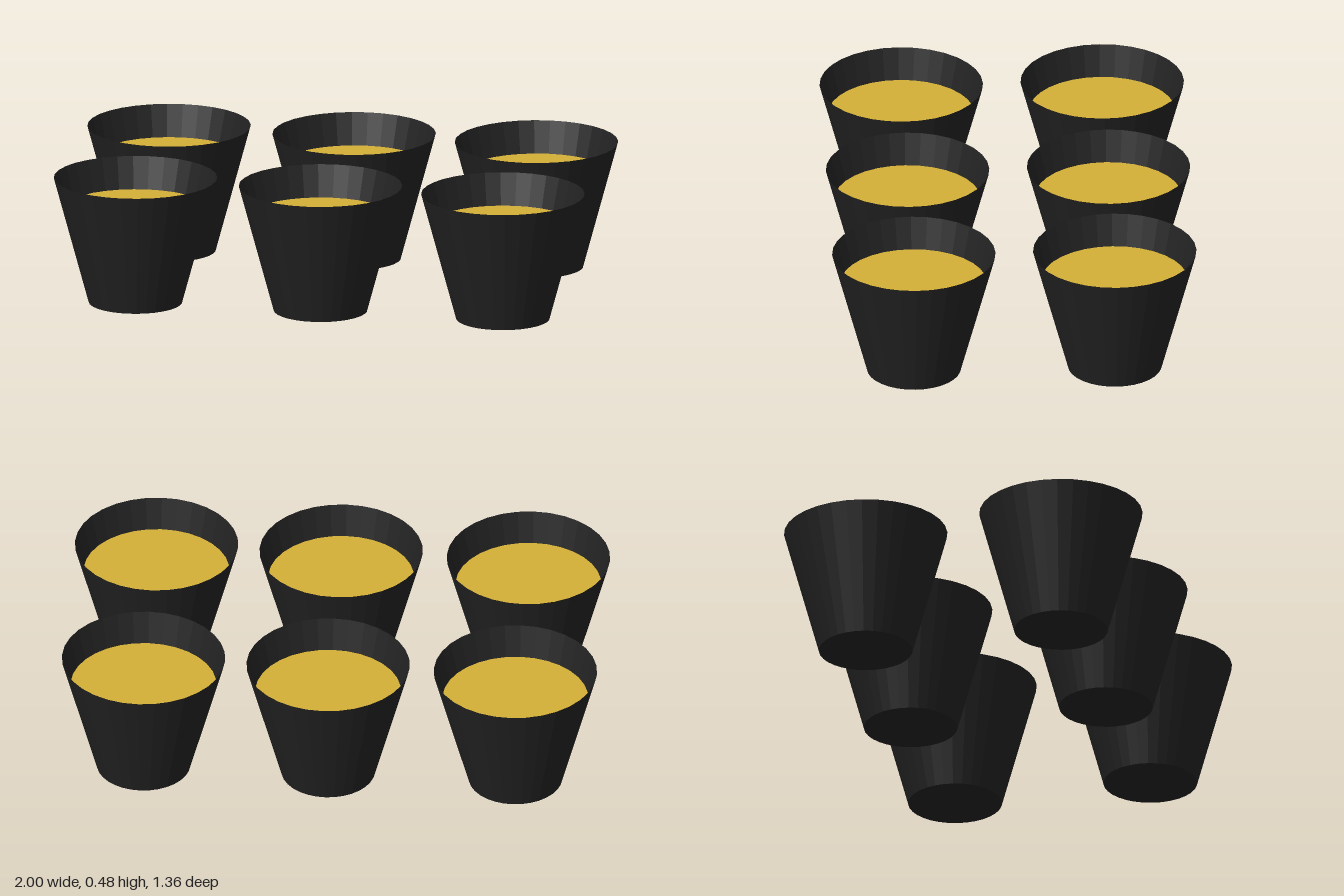
import * as THREE from 'three';

const HEIGHT = 0.48, TOP_R = 0.305, BASE_R = 0.175, FILL_Y = 0.36, SIDES = 32;

export function createModel() {
  const group = new THREE.Group();
  const cupMat = new THREE.MeshStandardMaterial({ color: 0x222222, flatShading: true, side: THREE.DoubleSide });
  const fillMat = new THREE.MeshStandardMaterial({ color: 0xd4af37, side: THREE.DoubleSide });

  // Thin tapered wall, open at the top
  const wallGeo = new THREE.CylinderGeometry(TOP_R, BASE_R, HEIGHT, SIDES, 1, true).translate(0, HEIGHT / 2, 0);
  // Flat base facing down
  const baseGeo = new THREE.CircleGeometry(BASE_R, SIDES).rotateX(Math.PI / 2);
  // Liquid surface, meeting the wall at its fill height
  const fillR = BASE_R + (TOP_R - BASE_R) * FILL_Y / HEIGHT;
  const fillGeo = new THREE.CircleGeometry(fillR, SIDES).rotateX(-Math.PI / 2).translate(0, FILL_Y, 0);

  function makeCup(x, z) {
    const cup = new THREE.Group();
    cup.name = 'cup';
    const parts = [['cupWall', wallGeo, cupMat], ['cupBase', baseGeo, cupMat], ['liquid', fillGeo, fillMat]];
    for (const [name, geo, mat] of parts) {
      const mesh = new THREE.Mesh(geo, mat);
      mesh.name = name;
      cup.add(mesh);
    }
    cup.position.set(x, 0, z);
    return cup;
  }

  // Two rows of three cups
  for (const z of [-0.375, 0.375]) {
    for (const x of [-0.695, 0.005, 0.695]) group.add(makeCup(x, z));
  }
  return group;
}
